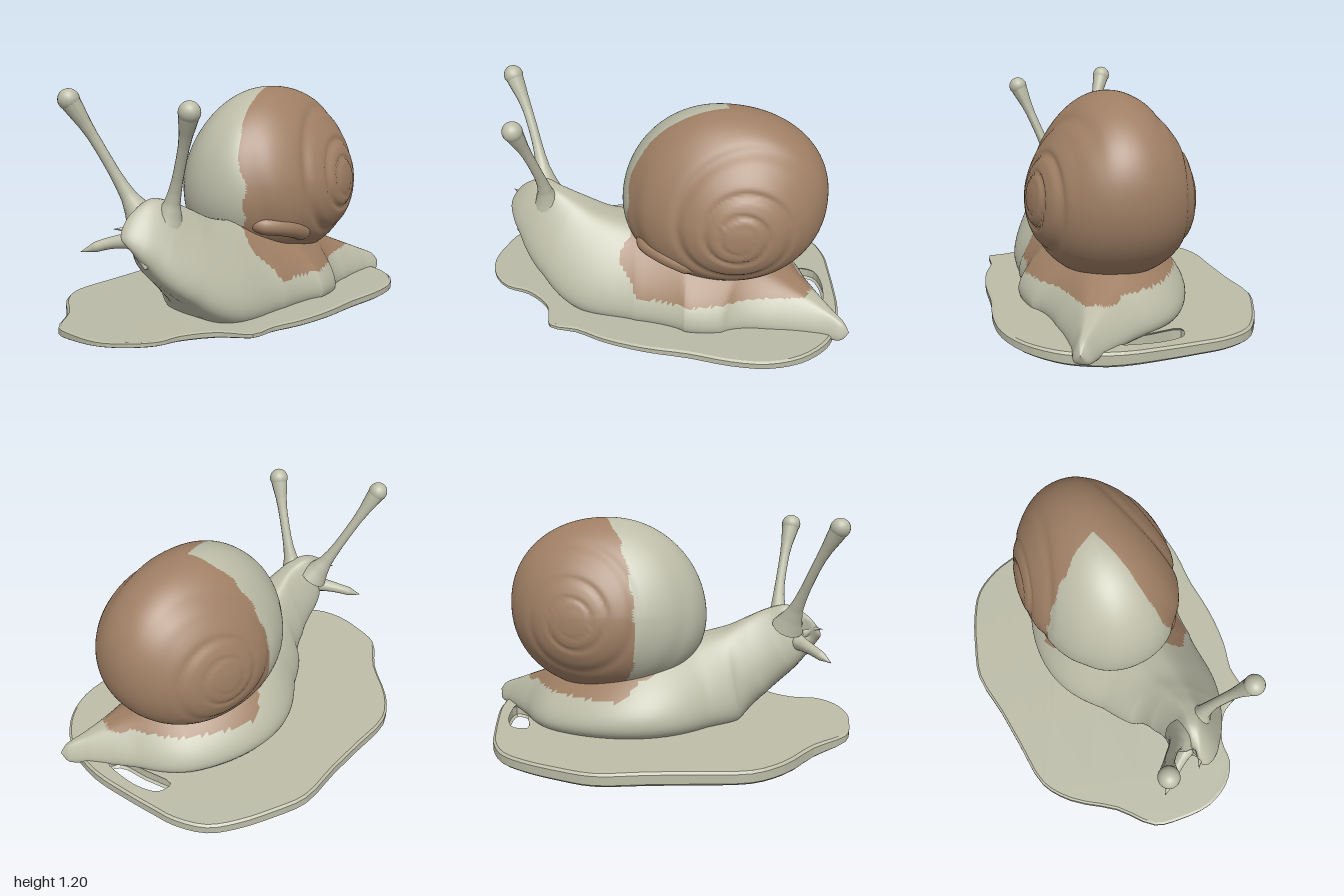
import * as THREE from 'three';
import { mergeVertices } from 'three/addons/utils/BufferGeometryUtils.js';

const V = (x, y, z) => new THREE.Vector3(x, y, z);
const paint = (name, hex) => {
  const m = new THREE.MeshStandardMaterial({ color: hex });
  m.name = name;
  return m;
};

// Apply a rule to every vertex, then refresh the normals
function reshape(geo, rule) {
  const p = geo.attributes.position, v = V(0, 0, 0);
  for (let i = 0; i < p.count; i++) {
    v.fromBufferAttribute(p, i);
    rule(v, i);
    p.setXYZ(i, v.x, v.y, v.z);
  }
  geo.computeVertexNormals();
  return geo;
}

// Cut every triangle of an unindexed geometry into four
function subdivide(geo) {
  const p = geo.attributes.position, out = [];
  for (let i = 0; i < p.count; i += 3) {
    const [a, b, c] = [0, 1, 2].map(k => V(0, 0, 0).fromBufferAttribute(p, i + k));
    const [ab, bc, ca] = [[a, b], [b, c], [c, a]].map(([s, t]) => s.clone().lerp(t, .5));
    for (const q of [a, ab, ca, ab, b, bc, ca, bc, c, ab, bc, ca]) out.push(q.x, q.y, q.z);
  }
  const fine = new THREE.BufferGeometry();
  fine.setAttribute('position', new THREE.Float32BufferAttribute(out, 3));
  return fine;
}

// Sort triangles into two material groups by their centre
function splitColours(geo, isSecond) {
  const idx = geo.index.array, p = geo.attributes.position, sets = [[], []];
  for (let i = 0; i < idx.length; i += 3) {
    const tri = [idx[i], idx[i + 1], idx[i + 2]], c = V(0, 0, 0);
    tri.forEach(k => c.add(V(p.getX(k), p.getY(k), p.getZ(k))));
    sets[isSecond(c.divideScalar(3)) ? 1 : 0].push(...tri);
  }
  geo.setIndex([...sets[0], ...sets[1]]);
  geo.addGroup(0, sets[0].length, 0);
  geo.addGroup(sets[0].length, sets[1].length, 1);
  return geo;
}

// Tapered tube: radii are spread evenly along the path
function stalk(points, radii) {
  const n = 40, sides = 14, path = new THREE.CatmullRomCurve3(points);
  const geo = new THREE.TubeGeometry(path, n, 1, sides);
  return reshape(geo, (v, i) => {
    const u = Math.floor(i / (sides + 1)) / n, f = u * (radii.length - 1);
    const k = Math.min(Math.floor(f), radii.length - 2);
    const c = path.getPointAt(u);
    v.sub(c).multiplyScalar(THREE.MathUtils.lerp(radii[k], radii[k + 1], f - k)).add(c);
  });
}

// Body stations: bottom centre, top centre, half width
const stations = [
  [1.0, .12, -.03, 1.0, .121, -.03, .001],
  [.97, .07, -.03, .96, .165, -.03, .04],
  [.85, .06, -.04, .85, .215, -.04, .09],
  [.65, .05, -.05, .65, .3, -.05, .21],
  [.4, .04, -.05, .4, .41, -.04, .38],
  [.1, .04, .05, .1, .5, .04, .44],
  [-.15, .05, .24, -.15, .53, .19, .34],
  [-.34, .08, .38, -.29, .57, .28, .27],
  [-.51, .22, .43, -.4, .63, .34, .2],
  [-.65, .36, .44, -.5, .68, .38, .14],
  [-.71, .45, .44, -.61, .705, .39, .1],
  [-.74, .52, .43, -.71, .65, .4, .06],
  [-.75, .58, .41, -.75, .581, .41, .001],
];

function bodyGeometry() {
  const rings = 130, sides = 72, pos = [], idx = [];
  const bottom = new THREE.CatmullRomCurve3(stations.map(s => V(s[0], s[1], s[2])));
  const top = new THREE.CatmullRomCurve3(stations.map(s => V(s[3], s[4], s[5])));
  const width = new THREE.CatmullRomCurve3(stations.map((s, i) => V(s[6], i, 0)));
  for (let i = 0; i <= rings; i++) {
    const u = i / rings, b = bottom.getPoint(u), t = top.getPoint(u);
    const dir = bottom.getTangent(u);
    const side = V(dir.z, 0, -dir.x).normalize();
    const w = Math.max(width.getPoint(u).x, .001);
    for (let j = 0; j < sides; j++) {
      const a = j / sides * Math.PI * 2, c = Math.cos(a), h = (Math.sin(a) + 1) / 2;
      const across = w * Math.sign(c) * Math.abs(c) ** .55 * (1.25 - .75 * h);
      pos.push(...b.clone().lerp(t, h).addScaledVector(side, across).toArray());
      if (i < rings) {
        const k = i * sides + j, l = i * sides + (j + 1) % sides;
        idx.push(k, l, k + sides, l, l + sides, k + sides);
      }
    }
  }
  const geo = new THREE.BufferGeometry();
  geo.setAttribute('position', new THREE.Float32BufferAttribute(pos, 3));
  geo.setIndex(idx);
  geo.computeVertexNormals();
  return geo;
}

function shellGeometry() {
  let geo = new THREE.SphereGeometry(1, 180, 110);
  geo.deleteAttribute('uv');
  geo.deleteAttribute('normal');
  geo = mergeVertices(geo);
  reshape(geo, v => {
    const e = 2.12;
    const s = (Math.abs(v.x) ** e + Math.abs(v.y) ** e + Math.abs(v.z) ** e) ** (-1 / e);
    const face = THREE.MathUtils.smoothstep(Math.abs(v.z), .25, .65);
    const front = v.z > 0, up = v.y;
    v.multiplyScalar(s).multiply(V(.52, .455, .395));
    // Narrower towards the crown, fuller below, leaning out over the neck
    v.z *= 1 - .24 * Math.max(0, up) + .16 * Math.max(0, -up);
    if (v.x < 0) v.x -= .12 * v.x * up;
    // Whorls: a logarithmic spiral groove over a gentle dome
    const dx = v.x - .13, dy = v.y + .02, r = Math.hypot(dx, dy) + .001;
    const phase = Math.log(r / .31) / Math.log(1.8) + (Math.atan2(dy, dx) - Math.PI) / (2 * Math.PI);
    const d = phase - Math.round(phase);
    const groove = Math.exp(-((d / .14) ** 2)) * THREE.MathUtils.smoothstep(r, .05, .13);
    const dome = Math.max(0, 1 - (r / .3) ** 2);
    v.z += (front ? 1 : -.6) * face * (.025 * dome - .014 * groove);
  });
  geo.rotateY(.4);
  geo.translate(.25, .715, -.03);
  return geo;
}

// Thin leaf-like base with an opening beside the tail
function baseGeometry() {
  const outline = [
    [-1, .2], [-.9, 0], [-.83, -.25], [-.73, -.4], [-.5, -.52], [-.3, -.62], [-.08, -.74],
    [.1, -.76], [.3, -.76], [.45, -.73], [.58, -.63], [.66, -.52], [.76, -.37], [.86, -.2],
    [.92, 0], [.92, .1], [.87, .25], [.76, .38], [.6, .47], [.4, .54], [.2, .63], [0, .69],
    [-.16, .71], [-.29, .76], [-.35, .7], [-.42, .64], [-.58, .61], [-.7, .64], [-.82, .6],
    [-.92, .5], [-.98, .34],
  ];
  const gap = [[.52, -.42], [.6, -.45], [.68, -.39], [.75, -.28], [.79, -.16], [.72, -.15], [.62, -.28]];
  const loop = pts => new THREE.CatmullRomCurve3(pts.map(p => V(p[0], -p[1], 0)), true)
    .getPoints(pts.length * 3).slice(0, -1).map(p => new THREE.Vector2(p.x, p.y));
  const shape = new THREE.Shape(loop(outline));
  shape.holes.push(new THREE.Path(loop(gap)));
  const geo = new THREE.ExtrudeGeometry(shape, {
    depth: .04, bevelThickness: .01, bevelSize: .012, bevelOffset: -.006, bevelSegments: 1,
  });
  geo.rotateX(-Math.PI / 2);
  return reshape(subdivide(subdivide(geo)), v => {
    const low = .11 * (Math.max(0, v.z + .15) / .92) ** 1.3 + .03 * v.x * v.x;
    const high = Math.max(.1 + .045 * v.z, low + .025);
    v.y = THREE.MathUtils.lerp(low, high, (v.y + .01) / .06);
  });
}

export function createModel() {
  const skin = paint('pale grey', 0xbcbca8), brown = paint('shell brown', 0x9f7f64);
  skin.side = THREE.DoubleSide; // the base is very thin
  const model = new THREE.Group();
  const add = (name, geo, mat) => {
    const mesh = new THREE.Mesh(geo, mat);
    mesh.name = name;
    model.add(mesh);
    return mesh;
  };
  const ripple = p => .01 * Math.sin(p.y * 37 + p.z * 21);

  add('base', baseGeometry(), skin);

  // Brown reaches from the shell onto the flanks
  add('body', splitColours(bodyGeometry(), p =>
    p.y > .25 + (p.z < -.15 ? .02 : 0) && p.x > -.1 + Math.max(0, .42 - p.y) * .8 + ripple(p) && p.x < .75),
  [skin, brown]);

  // Pale wedge on the leading side of the shell
  add('shell', splitColours(shellGeometry(), p =>
    p.x > Math.max(-.1, .27 - 1.25 * Math.abs(p.z + .04)) + ripple(p)),
  [skin, brown]);

  // Lip along the lower edge of the last whorl
  add('shellLip', stalk(
    [V(-.08, .52, .25), V(0, .505, .33), V(.12, .49, .345), V(.22, .46, .32), V(.33, .39, .24)],
    [.01, .045, .05, .05, .01]), brown);

  // Eye stalks with rounded bulb tips
  const eyes = {
    right: [V(-.63, .6, .34), V(-.7, .74, .29), V(-.82, .98, .23), V(-.92, 1.15, .205)],
    left: [V(-.55, .58, .42), V(-.53, .74, .47), V(-.525, .95, .56), V(-.53, 1.11, .635)],
  };
  for (const [side, points] of Object.entries(eyes)) {
    add(side + 'EyeStalk', stalk(points, [.085, .058, .038, .03, .026, .025, .025, .026, .031, .04, .048]), skin);
    const bulb = add(side + 'EyeBulb', new THREE.SphereGeometry(.05, 20, 14), skin);
    bulb.position.copy(points[3]);
  }

  // Feelers and mouth
  add('rightFeeler', stalk([V(-.66, .52, .38), V(-.78, .5, .3), V(-.9, .46, .24)], [.05, .035, .028, .024, .001]), skin);
  add('leftFeeler', stalk([V(-.7, .56, .42), V(-.75, .585, .42), V(-.8, .59, .41)], [.03, .015, .008, .001]), skin);
  add('mouth', stalk([V(-.6, .5, .44), V(-.66, .46, .48), V(-.7, .42, .52)], [.08, .07, .055, .001]), skin);
  return model;
}
